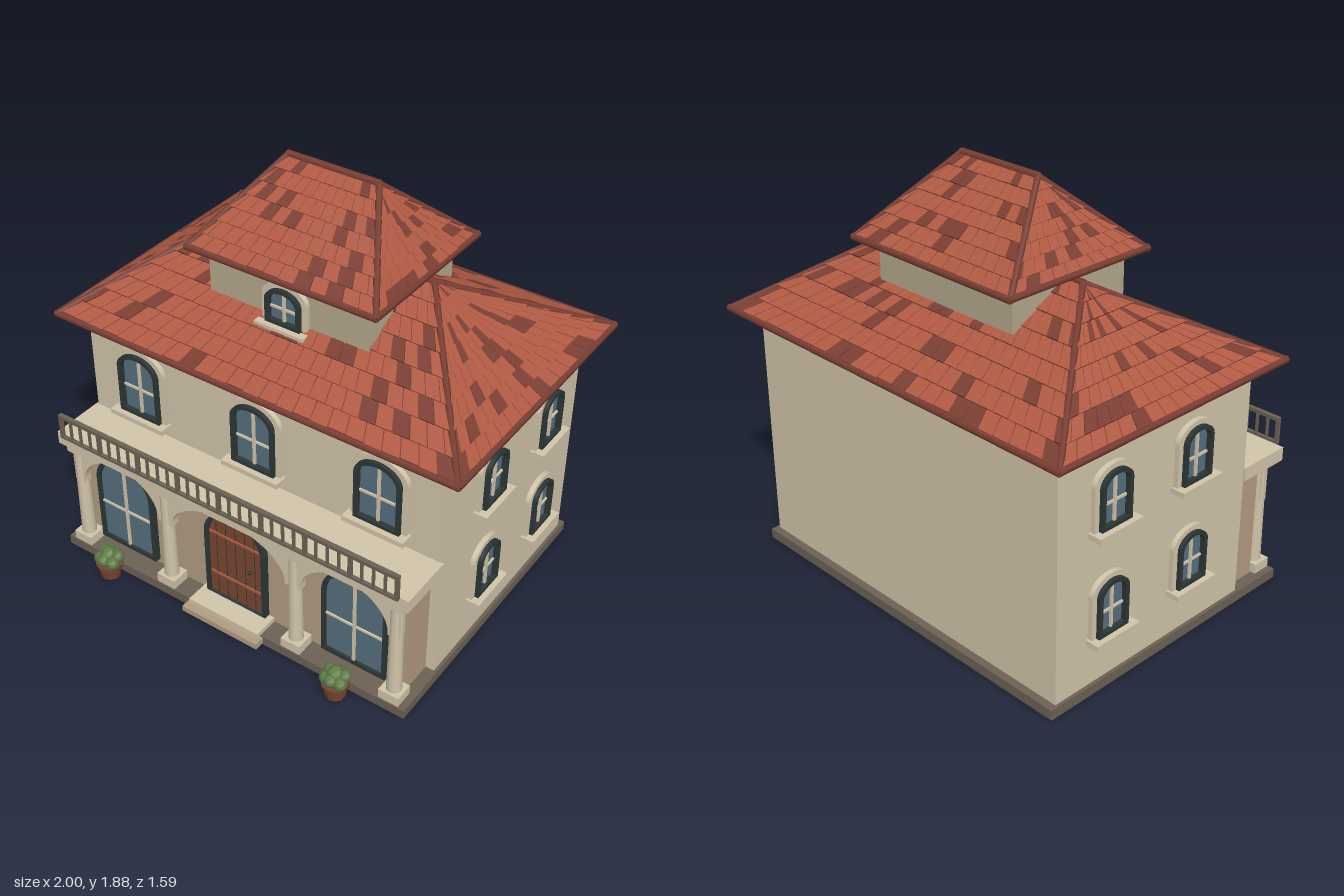
import * as THREE from 'three';

const mat = (name, color, extra = {}) => {
  const m = new THREE.MeshStandardMaterial({ color, ...extra });
  m.name = name;
  return m;
};
const M = {
  cream: mat('cream plaster', 0xd2c5aa),
  tan: mat('tan plaster', 0xb29c82),
  attic: mat('attic plaster', 0xb5a98d),
  stone: mat('grey brown stone', 0x6c6255),
  tile: mat('clay tile', 0xb05a43, { side: THREE.DoubleSide }),
  dark: mat('dark clay tile', 0x7a3e33, { side: THREE.DoubleSide }),
  frame: mat('dark frame', 0x2c3636),
  glass: mat('blue glass', 0x56707f),
  wood: mat('brown wood', 0x784630),
  leaf: mat('leaf green', 0x5f7a45, { flatShading: true }),
};

let seed = 7;
const rand = () => (seed = (seed * 16807) % 2147483647) / 2147483647;
const V = (x, y, z) => new THREE.Vector3(x, y, z);

function add(parent, name, geo, material, x = 0, y = 0, z = 0) {
  const mesh = new THREE.Mesh(geo, material);
  mesh.name = name;
  mesh.position.set(x, y, z);
  parent.add(mesh);
  return mesh;
}
// Box given by its limits on each axis
function box(parent, name, m, x0, x1, y0, y1, z0, z1) {
  return add(parent, name, new THREE.BoxGeometry(x1 - x0, y1 - y0, z1 - z0), m,
    (x0 + x1) / 2, (y0 + y1) / 2, (z0 + z1) / 2);
}
// Round bar between two points
function bar(parent, name, m, a, b, r) {
  const mesh = add(parent, name, new THREE.CylinderGeometry(r, r, a.distanceTo(b) + r, 6), m);
  mesh.position.copy(a).lerp(b, 0.5);
  mesh.quaternion.setFromUnitVectors(V(0, 1, 0), b.clone().sub(a).normalize());
}
function group(parent, name, x = 0, y = 0, z = 0) {
  const g = new THREE.Group();
  g.name = name;
  g.position.set(x, y, z);
  parent.add(g);
  return g;
}
function fromPoints(points) {
  const g = new THREE.BufferGeometry().setFromPoints(points);
  g.computeVertexNormals();
  return g;
}

// Arched outline standing on y = y0
function arch(hw, h, rise, y0 = 0, T = THREE.Shape) {
  const s = new T();
  s.moveTo(-hw, y0);
  s.lineTo(hw, y0);
  s.lineTo(hw, h - rise);
  s.absellipse(0, h - rise, hw, rise, 0, Math.PI, false);
  s.closePath();
  return s;
}
const extrude = (shape, depth) =>
  new THREE.ExtrudeGeometry(shape, { depth, bevelEnabled: false, curveSegments: 14 });
function archRing(hw, h, rise, t, depth, bottom) {
  const s = arch(hw, h, rise);
  s.holes.push(arch(hw - t, h - t, rise - t * 0.6, bottom, THREE.Path));
  return extrude(s, depth);
}

// Arched window facing +z, foot at the origin
function makeWindow(parent, name, hw, h, rise, trimmed = true) {
  const g = group(parent, name), t = 0.018, d = trimmed ? 0.04 : 0.03;
  if (trimmed) {
    add(g, 'surround', archRing(hw + 0.024, h + 0.022, rise + 0.014, 0.024, 0.022, 0.002), M.cream);
    box(g, 'sill', M.cream, -hw - 0.036, hw + 0.036, -0.022, 0.002, 0, 0.065);
  }
  add(g, 'frame', archRing(hw, h, rise, t, d, t), M.frame);
  add(g, 'pane', extrude(arch(hw - t / 2, h - t / 2, rise - t * 0.3, t / 2), 0.016), M.glass);
  box(g, 'mullion', M.cream, -0.006, 0.006, t, h - t, 0.012, 0.026);
  box(g, 'crossbar', M.cream, t - hw, hw - t, h * 0.43 - 0.005, h * 0.43 + 0.005, 0.012, 0.024);
  return g;
}

// Overlapping tiles on one slope: a, b along the eave, c, d along the ridge
function tileSlope(a, b, c, d, cols, rows, out) {
  const n = b.clone().sub(a).cross(d.clone().sub(a)).normalize();
  const at = (u, v, lift) => a.clone().lerp(b, u).lerp(d.clone().lerp(c, u), v).addScaledVector(n, lift);
  for (let r = 0; r < rows; r++) {
    const v0 = r / rows, v1 = (r + 1) / rows;
    for (let k = 0; k <= cols; k++) {
      const s = k - (r % 2 ? 0.5 : 0);
      const u0 = Math.max(0, (s + 0.03) / cols), u1 = Math.min(1, (s + 0.97) / cols);
      if (u1 <= u0) continue;
      const hi = 0.009 + rand() * 0.004;
      const p = [at(u0, v0, hi), at(u1, v0, hi), at(u1, v1, 0.003), at(u0, v1, 0.003)];
      const q = [at(u0, v0, 0), at(u1, v0, 0)];
      out[rand() < 0.2 ? 1 : 0].push(p[0], p[1], p[2], p[0], p[2], p[3],
        q[0], q[1], p[1], q[0], p[1], p[0],
        q[0], p[0], p[3], q[1], p[2], p[1]);
    }
  }
}

// Hipped roof with tiles and caps on the eaves, hips and ridge
function makeRoof(parent, name, x, zf, zb, y, rx, ry, rz, colsX, colsZ, rows) {
  const g = group(parent, name);
  const e = [V(-x, y, zf), V(x, y, zf), V(x, y, zb), V(-x, y, zb)];
  const l = V(-rx, ry, rz), r = V(rx, ry, rz);
  add(g, 'roofCore', fromPoints([
    e[0], e[1], r, e[0], r, l, e[1], e[2], r, e[2], e[3], l, e[2], l, r,
    e[3], e[0], l, e[0], e[3], e[2], e[0], e[2], e[1]]), M.dark);
  const out = [[], []];
  tileSlope(e[0], e[1], r, l, colsX, rows, out);
  tileSlope(e[1], e[2], r, r, colsZ, rows, out);
  tileSlope(e[2], e[3], l, r, colsX, rows, out);
  tileSlope(e[3], e[0], l, l, colsZ, rows, out);
  add(g, 'tiles', fromPoints(out[0]), M.tile);
  add(g, 'darkTiles', fromPoints(out[1]), M.dark);
  e.forEach((p, i) => {
    bar(g, 'eave', M.dark, p, e[(i + 1) % 4], 0.016);
    bar(g, 'hipCap', M.dark, p, i === 0 || i === 3 ? l : r, 0.014);
  });
  bar(g, 'ridgeCap', M.dark, l, r, 0.016);
}

export function createModel() {
  const house = new THREE.Group();
  house.name = 'house';

  // Walls
  box(house, 'plinth', M.stone, -0.905, 0.905, 0, 0.045, -0.72, 0.67);
  box(house, 'mainWalls', M.cream, -0.89, 0.89, 0.045, 1.13, -0.685, 0.415);
  box(house, 'cornice', M.cream, -0.905, 0.905, 1.095, 1.135, -0.7, 0.43);
  box(house, 'porchWall', M.tan, -0.85, 0.85, 0.045, 0.59, 0.41, 0.568);
  box(house, 'atticWalls', M.attic, -0.39, 0.39, 1.2, 1.55, -0.425, 0.195);

  // Roofs
  makeRoof(house, 'lowerRoof', 0.985, 0.503, -0.778, 1.146, 0.475, 1.508, -0.135, 24, 16, 8);
  makeRoof(house, 'upperRoof', 0.455, 0.255, -0.5, 1.54, 0.215, 1.868, -0.12, 12, 10, 7);

  // Windows
  for (const x of [-0.607, 0, 0.607])
    makeWindow(house, 'upperWindow', 0.108, 0.315, 0.08).position.set(x, 0.725, 0.415);
  makeWindow(house, 'atticWindow', 0.085, 0.17, 0.06).position.set(0, 1.31, 0.195);
  for (const s of [-1, 1]) {
    makeWindow(house, 'porchWindow', 0.158, 0.495, 0.155, false).position.set(s * 0.607, 0.07, 0.568);
    for (const y of [0.265, 0.745]) for (const z of [0.065, -0.405]) {
      const w = makeWindow(house, 'sideWindow', 0.083, 0.243, 0.062);
      w.position.set(s * 0.89, y, z);
      w.rotation.y = s * Math.PI / 2;
    }
  }

  // Front door with plank grooves, straps and a knob
  const door = group(house, 'frontDoor', 0, 0.07, 0.568);
  add(door, 'doorFrame', archRing(0.158, 0.495, 0.155, 0.018, 0.03, 0.002), M.frame);
  add(door, 'doorLeaf', extrude(arch(0.148, 0.485, 0.148), 0.016), M.wood);
  for (let i = -2; i <= 2; i++)
    box(door, 'plankGroove', M.frame, i * 0.05 - 0.0015, i * 0.05 + 0.0015, 0.005, 0.455 - Math.abs(i) * 0.012, 0.015, 0.0175);
  for (const y of [0.12, 0.35]) box(door, 'strap', M.tile, -0.135, 0.135, y - 0.005, y + 0.005, 0.015, 0.022);
  add(door, 'knob', new THREE.SphereGeometry(0.009, 8, 6), M.frame, 0.075, 0.215, 0.022);

  // Steps
  box(house, 'lowerStep', M.tan, -0.2, 0.2, 0.012, 0.04, 0.56, 0.72);
  box(house, 'upperStep', M.cream, -0.185, 0.185, 0.04, 0.068, 0.56, 0.69);

  // Arcade with three openings
  const arcade = new THREE.Shape();
  arcade.moveTo(-0.85, 0.39);
  for (const [cx, hw] of [[-0.585, 0.212], [0, 0.297], [0.585, 0.212]]) {
    arcade.lineTo(cx - hw, 0.39);
    arcade.absellipse(cx, 0.4, hw, 0.175, Math.PI, 0, true);
    arcade.lineTo(cx + hw, 0.39);
  }
  arcade.lineTo(0.85, 0.39);
  arcade.lineTo(0.85, 0.592);
  arcade.lineTo(-0.85, 0.592);
  add(house, 'arcade', extrude(arcade, 0.04), M.cream, 0, 0, 0.6);

  // Columns
  for (const x of [-0.825, -0.337, 0.337, 0.825]) {
    const c = group(house, 'column', x, 0, 0.62);
    box(c, 'base', M.cream, -0.048, 0.048, 0.045, 0.09, -0.045, 0.045);
    add(c, 'shaft', new THREE.CylinderGeometry(0.028, 0.034, 0.47, 10), M.cream, 0, 0.325, 0);
    box(c, 'capital', M.cream, -0.04, 0.04, 0.555, 0.592, -0.038, 0.038);
  }

  // Balcony slab and railing
  box(house, 'balconySlab', M.cream, -0.9, 0.9, 0.59, 0.652, 0.41, 0.668);
  const rail = group(house, 'railing', 0, 0, 0.68);
  box(rail, 'topRail', M.stone, -0.862, 0.862, 0.757, 0.773, -0.01, 0.01);
  box(rail, 'bottomRail', M.stone, -0.862, 0.862, 0.648, 0.66, -0.008, 0.008);
  for (let i = 0; i <= 32; i++) {
    const x = -0.855 + i * 1.71 / 32, w = i % 4 ? 0.005 : 0.008;
    box(rail, 'baluster', M.stone, x - w, x + w, 0.65, 0.765, -w, w);
  }

  // Potted shrubs
  for (const s of [-1, 1]) {
    const p = group(house, 'pottedShrub', s * 0.61, 0, 0.725);
    add(p, 'pot', new THREE.CylinderGeometry(0.056, 0.045, 0.07, 10), M.wood, 0, 0.047, 0);
    add(p, 'potRim', new THREE.CylinderGeometry(0.063, 0.061, 0.018, 10), M.wood, 0, 0.078, 0);
    add(p, 'leaves', new THREE.IcosahedronGeometry(0.038, 1), M.leaf, 0, 0.13, 0);
    for (let i = 0; i < 6; i++) {
      const a = i * Math.PI / 3 + 0.5;
      add(p, 'leaves', new THREE.IcosahedronGeometry(0.03, 1), M.leaf,
        Math.cos(a) * 0.04, 0.105 + (i % 2) * 0.015, Math.sin(a) * 0.037);
    }
  }
  return house;
}
